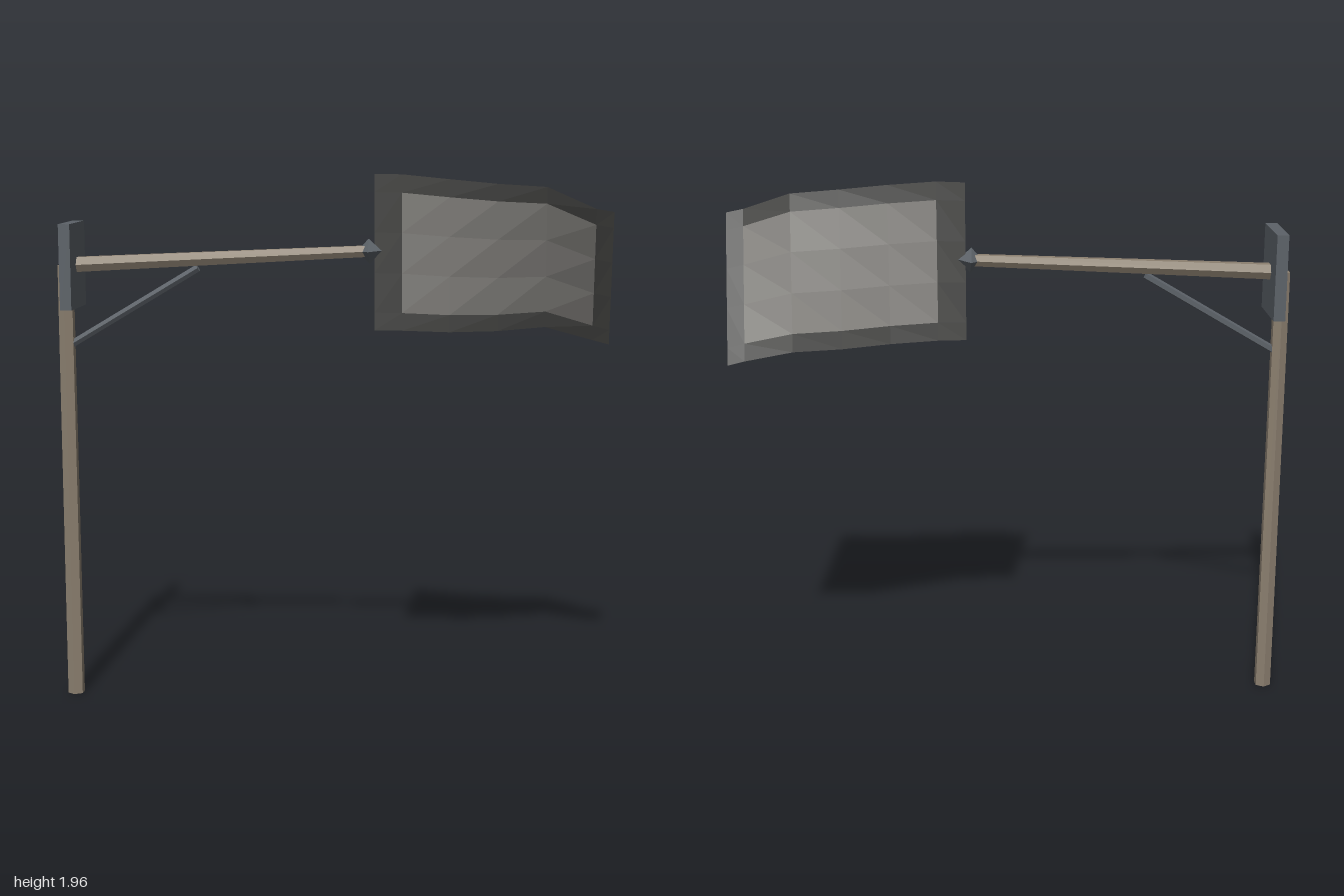
import * as THREE from 'three';

const mat = (color, side = THREE.FrontSide) =>
  new THREE.MeshStandardMaterial({ color, side, flatShading: true, roughness: 0.9 });

const wood = mat(0x8c8070);
const metal = mat(0x5c6268);
const clothLight = mat(0x868480, THREE.DoubleSide);
const clothDark = mat(0x4a4a48, THREE.DoubleSide);

function add(group, name, geometry, material) {
  const mesh = new THREE.Mesh(geometry, material);
  mesh.name = name;
  group.add(mesh);
  return mesh;
}

// Tapered bar between two points
function bar(group, name, from, to, r0, r1, sides, material) {
  const a = new THREE.Vector3(...from), b = new THREE.Vector3(...to);
  const dir = b.clone().sub(a);
  const mesh = add(group, name, new THREE.CylinderGeometry(r1, r0, dir.length(), sides), material);
  mesh.position.copy(a).add(b).multiplyScalar(0.5);
  mesh.quaternion.setFromUnitVectors(new THREE.Vector3(0, 1, 0), dir.normalize());
  return mesh;
}

// Twisted cloth columns: x, top y, top z, bottom y, bottom z
const columns = [
  [0.16, 1.96, 0.01, 1.4, -0.02],
  [0.26, 1.96, 0.035, 1.4, -0.02],
  [0.43, 1.945, 0.062, 1.395, -0.035],
  [0.6, 1.93, 0.068, 1.395, -0.09],
  [0.77, 1.92, 0.06, 1.405, -0.152],
  [0.94, 1.85, 0.15, 1.365, -0.115],
  [1.0, 1.84, 0.14, 1.35, -0.112],
];
const rows = [0, 0.115, 0.37, 0.63, 0.885, 1];

// Cloth cells, either the border ring or the inner field
function clothGeometry(border) {
  const positions = [];
  const point = (i, j) => {
    const [x, y0, z0, y1, z1] = columns[i];
    const t = rows[j];
    return [x, y0 + (y1 - y0) * t, z0 + (z1 - z0) * t];
  };
  for (let i = 0; i < columns.length - 1; i++) {
    for (let j = 0; j < rows.length - 1; j++) {
      const edge = i === 0 || j === 0 || i === columns.length - 2 || j === rows.length - 2;
      if (edge !== border) continue;
      const a = point(i, j), b = point(i, j + 1), c = point(i + 1, j + 1), d = point(i + 1, j);
      positions.push(...a, ...b, ...d, ...b, ...c, ...d);
    }
  }
  const geometry = new THREE.BufferGeometry();
  geometry.setAttribute('position', new THREE.Float32BufferAttribute(positions, 3));
  geometry.computeVertexNormals();
  return geometry;
}

export function createModel() {
  const model = new THREE.Group();
  model.name = 'flagOnBracket';

  // Post, mounting plate and arm
  bar(model, 'post', [-0.972, 0, 0], [-0.972, 1.625, 0], 0.032, 0.03, 6, wood);
  add(model, 'mountingPlate', new THREE.BoxGeometry(0.042, 0.31, 0.21), metal)
    .position.set(-0.947, 1.625, 0);
  bar(model, 'arm', [-0.945, 1.627, 0], [0.13, 1.686, 0], 0.031, 0.023, 6, wood);

  // Diagonal brace under the arm
  bar(model, 'brace', [-0.955, 1.335, 0], [-0.48, 1.62, 0], 0.014, 0.014, 5, metal);

  // Pointed finial at the end of the arm
  const finial = add(model, 'finial', new THREE.OctahedronGeometry(0.045), metal);
  finial.position.set(0.142, 1.686, 0);
  finial.rotation.z = 0.055;

  // Flag
  const flag = new THREE.Group();
  flag.name = 'flag';
  add(flag, 'flagField', clothGeometry(false), clothLight);
  add(flag, 'flagBorder', clothGeometry(true), clothDark);
  model.add(flag);

  return model;
}
